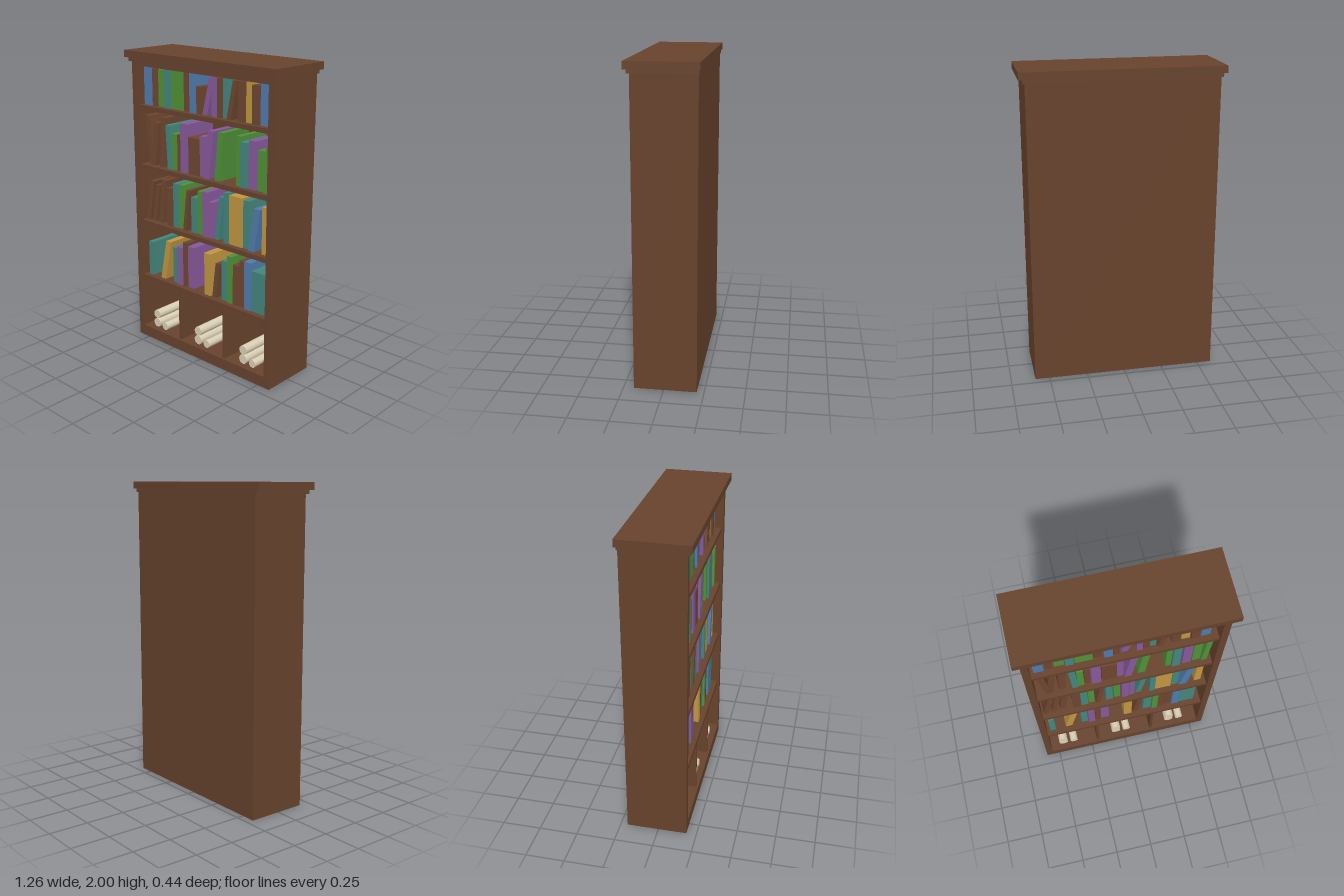
import * as THREE from 'three';

const mat = (name, color) => Object.assign(new THREE.MeshStandardMaterial({ color }), { name });

export function createModel() {
  const group = new THREE.Group();
  const wood = mat('wood', 0x66422c);
  const cream = mat('parchment', 0xd9cfb4);
  const covers = {
    n: mat('brown cover', 0x6e452f), b: mat('blue cover', 0x4f7aad), g: mat('green cover', 0x4f9038),
    t: mat('teal cover', 0x42857c), p: mat('purple cover', 0x85589a), y: mat('yellow cover', 0xbf9540),
  };

  // Box given by its two extents along each axis
  const box = (name, x0, x1, y0, y1, z0, z1, material = wood) => {
    const m = new THREE.Mesh(new THREE.BoxGeometry(x1 - x0, y1 - y0, z1 - z0), material);
    m.position.set((x0 + x1) / 2, (y0 + y1) / 2, (z0 + z1) / 2);
    m.name = name;
    group.add(m);
    return m;
  };

  // Case
  box('leftSide', 0.55, 0.593, 0, 1.93, -0.205, 0.185);
  box('rightSide', -0.593, -0.55, 0, 1.93, -0.205, 0.185);
  box('backPanel', -0.55, 0.55, 0, 1.93, -0.205, -0.17);
  box('base', -0.55, 0.55, 0, 0.075, -0.17, 0.185);
  box('header', -0.55, 0.55, 1.905, 1.93, -0.17, 0.185);
  box('crownMoulding', -0.607, 0.607, 1.93, 1.955, -0.21, 0.2);
  box('crown', -0.63, 0.63, 1.955, 2, -0.218, 0.217);

  // Shelves and lower dividers
  const shelfTops = [1.65, 1.25, 0.86, 0.46];
  for (const y of shelfTops) box('shelf', -0.55, 0.55, y - 0.03, y, -0.17, 0.172);
  for (const x of [-0.2, 0.2]) box('divider', x - 0.01, x + 0.01, 0.075, 0.43, -0.17, 0.17);

  // One book: cover, left edge, thickness, height, sideways lean at the top
  const row = (y, books) => books.forEach(([cover, x, w, h, lean = 0], i) => {
    const geo = new THREE.BoxGeometry(w, h, 0.24);
    const p = geo.attributes.position;
    for (let v = 0; v < p.count; v++) p.setX(v, p.getX(v) + lean * (p.getY(v) / h + 0.5));
    geo.computeVertexNormals();
    const book = new THREE.Mesh(geo, covers[cover]);
    book.position.set(x + w / 2, y + h / 2, 0.02 - (i % 3) * 0.006);
    book.name = 'book';
    group.add(book);
  });

  row(shelfTops[0], [
    ['b', -0.53, 0.06, 0.25], ['n', -0.46, 0.04, 0.24], ['g', -0.41, 0.06, 0.24], ['t', -0.345, 0.05, 0.25],
    ['g', -0.29, 0.105, 0.25], ['n', -0.18, 0.05, 0.25], ['b', -0.12, 0.05, 0.25], ['n', -0.066, 0.04, 0.17],
    ['p', -0.02, 0.04, 0.24, 0.06], ['p', 0.07, 0.035, 0.25], ['n', 0.11, 0.035, 0.24], ['t', 0.15, 0.035, 0.25],
    ['n', 0.19, 0.035, 0.24, 0.05], ['n', 0.275, 0.05, 0.24], ['y', 0.335, 0.05, 0.25], ['n', 0.39, 0.05, 0.23],
    ['b', 0.45, 0.055, 0.25],
  ]);
  row(shelfTops[1], [
    ['n', -0.49, 0.04, 0.33, -0.04], ['n', -0.485, 0.04, 0.29, 0.035], ['n', -0.41, 0.045, 0.33, 0.015],
    ['t', -0.325, 0.04, 0.29, -0.015], ['g', -0.29, 0.04, 0.24], ['n', -0.245, 0.035, 0.24],
    ['p', -0.205, 0.06, 0.32], ['n', -0.14, 0.095, 0.24], ['p', -0.045, 0.04, 0.26],
    ['p', 0.0, 0.045, 0.31, 0.04], ['g', 0.085, 0.045, 0.31, 0.03], ['g', 0.26, 0.035, 0.31],
    ['t', 0.3, 0.05, 0.28], ['p', 0.365, 0.055, 0.3], ['g', 0.43, 0.05, 0.25], ['g', 0.485, 0.035, 0.28, 0.015],
  ]);
  row(shelfTops[2], [
    ['n', -0.54, 0.035, 0.28, 0.05], ['n', -0.485, 0.035, 0.26, 0.04], ['n', -0.43, 0.04, 0.3, 0.035],
    ['n', -0.34, 0.05, 0.26], ['t', -0.285, 0.045, 0.3], ['g', -0.235, 0.04, 0.3],
    ['n', -0.19, 0.03, 0.28, 0.035], ['t', -0.12, 0.045, 0.24], ['g', -0.067, 0.04, 0.29],
    ['p', -0.015, 0.045, 0.3], ['p', 0.035, 0.035, 0.24], ['t', 0.08, 0.035, 0.29, 0.04],
    ['t', 0.17, 0.035, 0.33], ['y', 0.21, 0.105, 0.32], ['t', 0.32, 0.045, 0.31],
    ['b', 0.37, 0.05, 0.28, 0.045], ['y', 0.475, 0.045, 0.3],
  ]);
  row(shelfTops[3], [
    ['t', -0.525, 0.04, 0.24], ['y', -0.415, 0.045, 0.28, 0.055], ['t', -0.3, 0.045, 0.25],
    ['p', -0.25, 0.045, 0.27], ['n', -0.2, 0.035, 0.31], ['p', -0.16, 0.055, 0.29],
    ['y', 0.0, 0.055, 0.29], ['n', 0.065, 0.035, 0.24, 0.03], ['t', 0.14, 0.055, 0.27],
    ['g', 0.2, 0.04, 0.32], ['n', 0.243, 0.045, 0.27], ['n', 0.293, 0.045, 0.31],
    ['b', 0.343, 0.05, 0.32], ['t', 0.397, 0.105, 0.27],
  ]);

  // Rolled scrolls: two stacked and a smaller one beside them in each bay
  const scrollGeo = new THREE.CylinderGeometry(1, 1, 0.25, 12).rotateX(Math.PI / 2);
  for (const x of [-0.455, -0.058, 0.343]) {
    for (const [dx, y, r] of [[0, 0.108, 0.032], [0, 0.172, 0.031], [0.078, 0.103, 0.027]]) {
      const scroll = new THREE.Mesh(scrollGeo, cream);
      scroll.scale.set(r, r, 1);
      scroll.position.set(x + dx, y, 0.02);
      scroll.name = 'scroll';
      group.add(scroll);
    }
  }
  return group;
}
